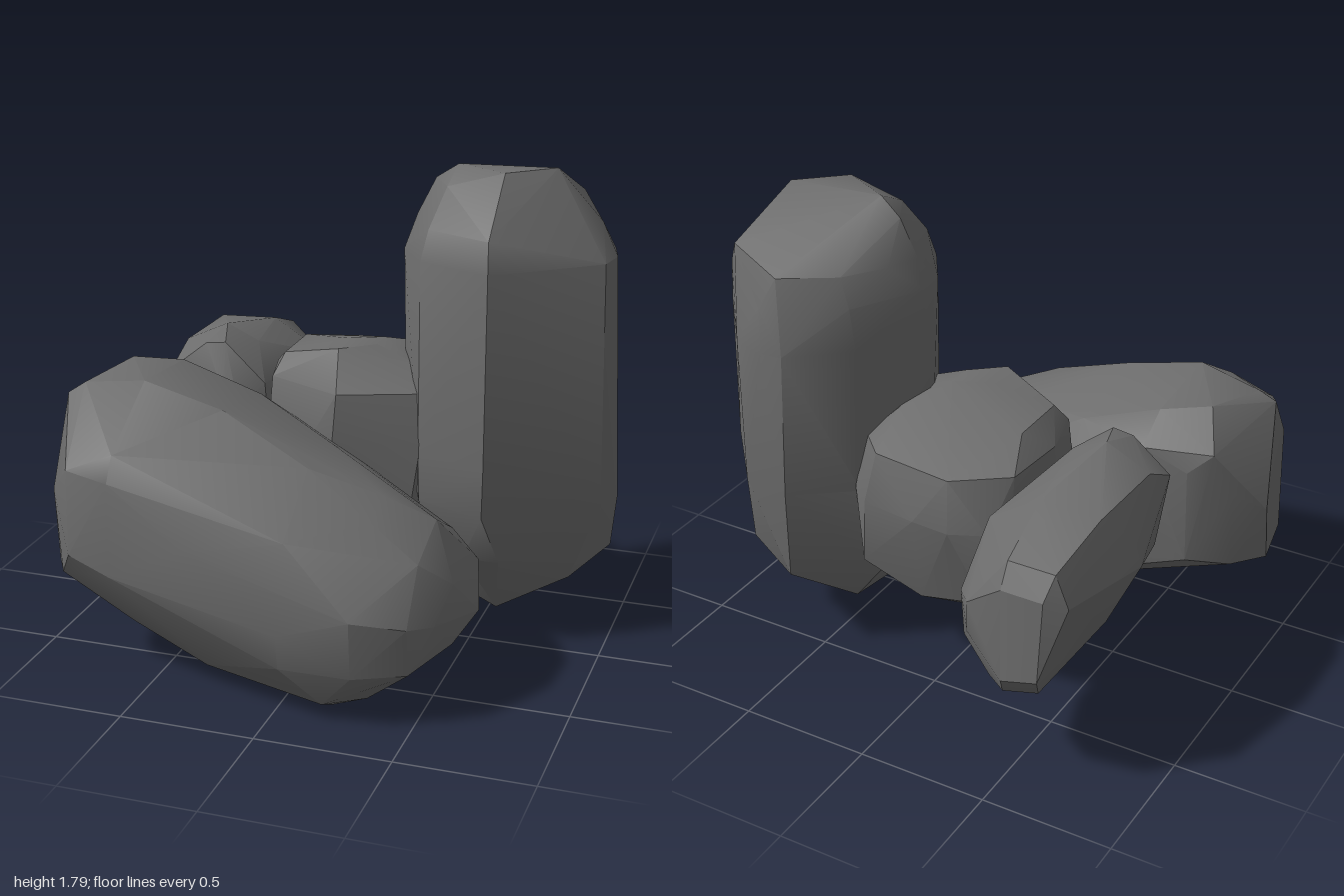
import * as THREE from 'three';
import { ConvexGeometry } from 'three/addons/geometries/ConvexGeometry.js';
import { toCreasedNormals } from 'three/addons/utils/BufferGeometryUtils.js';

const stone = new THREE.MeshStandardMaterial({ color: 0x6c6c6c });

// A chiselled boulder: hull around cross-sections, softened across shallow edges.
// Each section is [position along axis, [a, b], [a, b], ...].
function boulder(name, axis, sections) {
  const points = [];
  for (const [t, ...ring] of sections) {
    for (const [a, b] of ring) {
      points.push(axis === 'x' ? new THREE.Vector3(t, b, a)
        : axis === 'y' ? new THREE.Vector3(a, t, b)
        : new THREE.Vector3(a, b, t));
    }
  }
  const mesh = new THREE.Mesh(toCreasedNormals(new ConvexGeometry(points), 0.5), stone);
  mesh.name = name;
  return mesh;
}

export function createModel() {
  const group = new THREE.Group();
  group.name = 'rockCluster';

  // Upright column, sections by height as [x, z]
  group.add(boulder('tallRock', 'y', [
    [0.08, [0.57, -0.13], [0.61, -0.22]],
    [0.18, [0.42, -0.08], [0.75, -0.36], [0.42, -0.38]],
    [0.25, [0.85, -0.12], [0.32, -0.2]],
    [0.35, [0.98, -0.25], [0.85, -0.44], [0.57, -0.6], [0.29, -0.4], [0.28, -0.12], [0.48, 0.06], [0.62, 0.06]],
    [0.55, [1.0, -0.24], [0.57, 0.14], [0.3, 0.03], [0.21, -0.2], [0.96, -0.12]],
    [0.75, [0.58, 0.17], [0.3, 0.05], [0.18, -0.2], [0.3, -0.5], [0.52, -0.67], [0.72, -0.63], [0.95, -0.36]],
    [1.32, [0.17, -0.22], [0.3, -0.5], [0.5, -0.67], [0.58, -0.68], [0.72, -0.63], [0.94, -0.36]],
    [1.48, [0.96, -0.24], [0.94, -0.12], [0.58, 0.17], [0.3, 0.05], [0.19, -0.12], [0.18, -0.24],
      [0.93, -0.36], [0.6, -0.65], [0.72, -0.6], [0.32, -0.5]],
    [1.59, [0.55, -0.61], [0.36, -0.49], [0.57, 0.13], [0.32, 0.02], [0.21, -0.22], [0.26, -0.34], [0.89, -0.3]],
    [1.65, [0.77, -0.54]],
    [1.73, [0.28, -0.22], [0.36, -0.08]],
    [1.79, [0.37, -0.2], [0.57, -0.09], [0.73, -0.24]],
  ]));

  // Leaning slab in front, sections by x as [z, y]
  group.add(boulder('frontRock', 'x', [
    [-1.0, [0.22, 0.68], [0.25, 0.46]],
    [-0.91, [0.1, 0.78], [0.12, 0.47], [0.47, 0.99], [0.6, 0.38]],
    [-0.85, [0.05, 0.95], [0.45, 1.03], [0.74, 0.72], [0.7, 0.38]],
    [-0.77, [0.0, 0.88], [0.02, 0.5], [0.2, 1.06], [0.8, 0.82], [0.81, 0.5], [0.5, 0.29]],
    [-0.6, [-0.02, 0.95], [0.12, 1.04], [0.48, 1.07], [0.78, 0.89], [0.83, 0.8], [0.84, 0.45], [0.65, 0.2], [0.1, 0.36]],
    [-0.3, [-0.02, 0.8], [0.1, 0.93], [0.48, 0.99], [0.87, 0.6], [0.26, 0.17], [0.5, 0.09], [0.68, 0.08]],
    [0.05, [0.0, 0.55], [0.07, 0.72], [0.28, 0.83], [0.56, 0.84], [0.82, 0.66], [0.91, 0.35], [0.89, 0.22], [0.08, 0.12]],
    [0.18, [0.68, 0.0], [0.3, 0.02], [0.8, 0.06]],
    [0.3, [0.08, 0.5], [0.2, 0.61], [0.48, 0.74], [0.62, 0.69], [0.87, 0.42], [0.85, 0.2], [0.65, 0.03],
      [0.3, 0.03], [0.08, 0.1], [0.03, 0.22]],
    [0.48, [0.2, 0.53], [0.42, 0.65], [0.65, 0.57], [0.78, 0.38], [0.76, 0.2], [0.3, 0.16], [0.12, 0.33]],
    [0.55, [0.68, 0.36]],
    [0.58, [0.2, 0.42], [0.55, 0.47], [0.55, 0.24], [0.22, 0.26]],
    [0.64, [0.41, 0.32]],
  ]));

  // Squat block in the middle, sections by height as [x, z]
  group.add(boulder('middleRock', 'y', [
    [0.29, [-0.2, -0.06], [0.1, -0.04]],
    [0.32, [-0.31, -0.28], [0.26, -0.1]],
    [0.37, [-0.2, -0.44], [0.28, -0.42], [0.05, -0.5], [-0.28, 0.0], [0.25, 0.05]],
    [0.45, [0.3, -0.5], [-0.24, -0.53], [-0.33, -0.1], [0.0, 0.13]],
    [0.78, [-0.33, -0.5], [-0.28, -0.58], [-0.15, -0.64], [0.0, -0.63], [0.22, -0.6], [0.31, -0.52],
      [0.31, 0.05], [0.0, 0.16], [-0.1, 0.13], [-0.3, 0.02], [-0.35, -0.2]],
    [0.97, [-0.32, -0.46], [-0.13, -0.6], [0.19, -0.56], [0.3, -0.45], [0.3, 0.03], [0.01, 0.14], [-0.29, 0.0], [-0.34, -0.2]],
    [1.05, [-0.26, -0.3], [0.22, -0.36], [0.25, -0.08], [-0.26, -0.06]],
    [1.11, [-0.03, -0.12], [0.1, -0.08], [-0.02, 0.02], [0.1, -0.18]],
  ]));

  // Small tilted stone at the back, sections by z as [x, y]
  group.add(boulder('backRock', 'z', [
    [-0.91, [-0.68, 0.83], [-0.52, 0.83], [-0.52, 0.46], [-0.66, 0.5]],
    [-0.86, [-0.75, 0.8], [-0.7, 0.92], [-0.52, 0.92], [-0.36, 0.7], [-0.36, 0.58], [-0.5, 0.38], [-0.64, 0.42]],
    [-0.78, [-0.29, 0.68], [-0.3, 0.5], [-0.4, 0.36], [-0.5, 0.33], [-0.6, 0.37]],
    [-0.6, [-0.26, 0.7], [-0.3, 0.42], [-0.5, 0.35], [-0.76, 0.6], [-0.73, 1.0], [-0.5, 1.01], [-0.3, 0.88]],
    [-0.48, [-0.83, 0.78], [-0.8, 0.88]],
    [-0.4, [-0.3, 0.42], [-0.48, 0.38]],
    [-0.25, [-0.32, 0.78], [-0.44, 1.02], [-0.57, 1.08], [-0.74, 1.0], [-0.77, 0.72]],
    [-0.1, [-0.35, 0.75], [-0.36, 0.9], [-0.52, 1.05], [-0.6, 1.04], [-0.75, 0.92], [-0.7, 0.73], [-0.36, 0.46], [-0.46, 0.46]],
    [-0.02, [-0.44, 0.82], [-0.5, 0.86], [-0.43, 0.6]],
  ]));

  return group;
}
